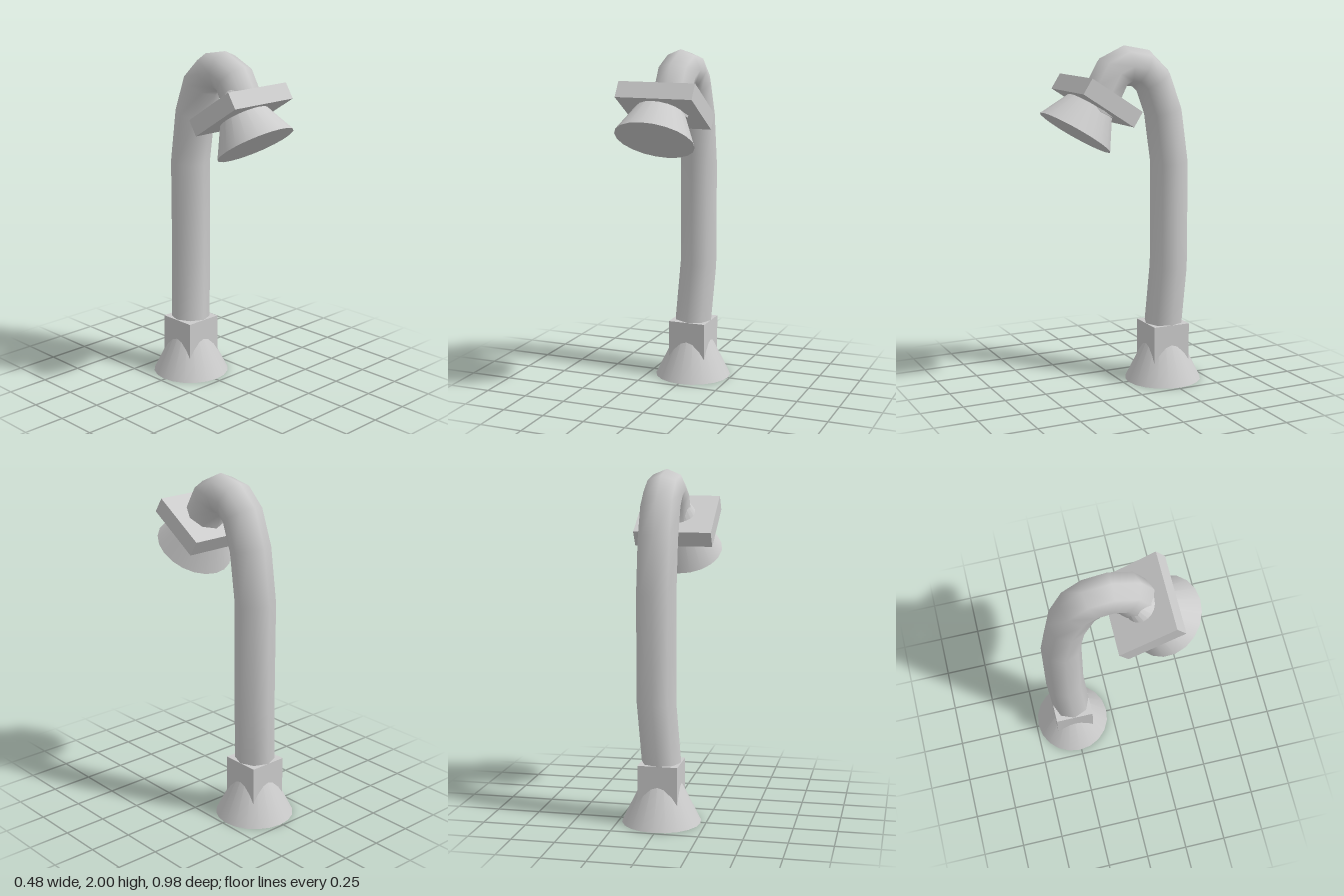
import * as THREE from 'three';

const material = new THREE.MeshStandardMaterial({ color: 0xcccccc, side: THREE.DoubleSide });

function part(name, geometry, x, y, z, parent) {
  const mesh = new THREE.Mesh(geometry, material);
  mesh.name = name;
  mesh.position.set(x, y, z);
  parent.add(mesh);
  return mesh;
}

// Path that puts one tube ring exactly on each given point.
class RingPath extends THREE.Curve {
  constructor(points) {
    super();
    this.points = points;
  }
  index(u) {
    return Math.round(u * (this.points.length - 1));
  }
  getPointAt(u, target = new THREE.Vector3()) {
    return target.copy(this.points[this.index(u)]);
  }
  getTangentAt(u, target = new THREE.Vector3()) {
    const i = this.index(u), p = this.points;
    const next = p[Math.min(i + 1, p.length - 1)];
    return target.copy(next).sub(p[Math.max(i - 1, 0)]).normalize();
  }
}

export function createModel() {
  const model = new THREE.Group();
  model.name = 'deskLamp';
  const radius = 0.228, height = 0.46, tubeRadius = 0.115;

  // Foot: wide cone running up into a square collar
  part('baseCone', new THREE.ConeGeometry(radius, height, 20), 0.008, height / 2, -0.26, model);
  part('baseCollar', new THREE.BoxGeometry(0.23, 0.23, 0.23), 0.008, 0.235, -0.26, model);

  // Curved neck: eight-sided tube, closed at both ends
  const points = [
    [0.008, 0.345, -0.26], [0.033, 0.7, -0.28], [0.033, 1.315, -0.28],
    [0.033, 1.615, -0.237], [0.033, 1.796, -0.17], [0.033, 1.868, -0.094],
    [0.033, 1.885, 0], [0.033, 1.848, 0.084], [0.033, 1.74, 0.143], [0.033, 1.635, 0.193],
  ].map((p) => new THREE.Vector3(...p));
  const path = new RingPath(points);
  part('neck', new THREE.TubeGeometry(path, points.length - 1, tubeRadius, 8), 0, 0, 0, model);
  for (const [u, facing] of [[0, -1], [1, 1]]) {
    const p = path.getPointAt(u);
    const cap = part('neckCap', new THREE.CircleGeometry(tubeRadius, 8), p.x, p.y, p.z, model);
    const direction = path.getTangentAt(u).multiplyScalar(facing);
    cap.quaternion.setFromUnitVectors(new THREE.Vector3(0, 0, 1), direction);
  }

  // Tilted head: shade cone with a flat plate across it
  const head = new THREE.Group();
  head.name = 'head';
  head.position.set(0, 1.512, 0.297);
  head.rotation.x = -0.566;
  part('shadeCone', new THREE.ConeGeometry(radius, height, 20), -0.011, height / 2, 0, head);
  part('shadePlate', new THREE.BoxGeometry(0.455, 0.1, 0.363), 0.002, 0.222, -0.009, head);
  model.add(head);

  return model;
}
